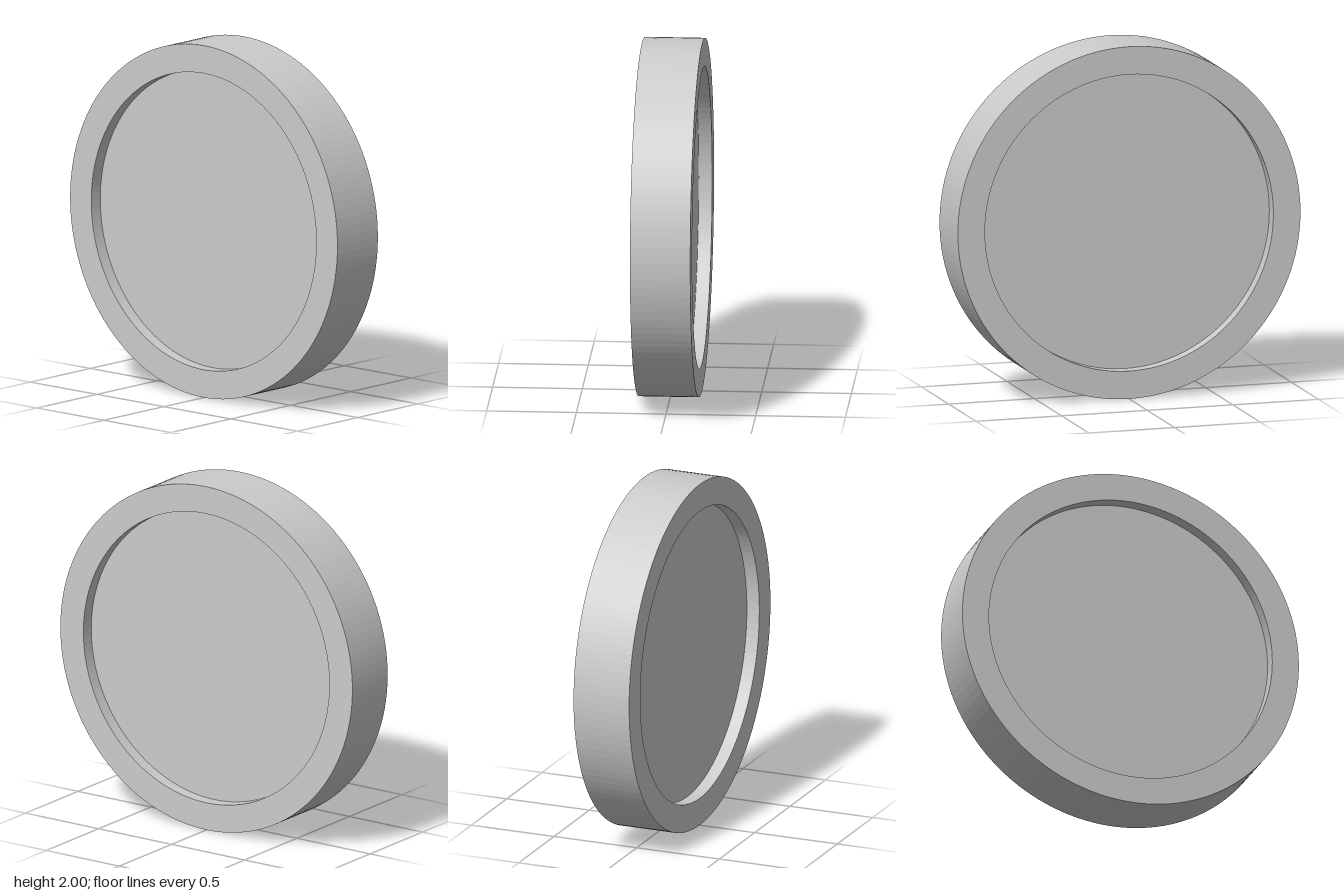
import * as THREE from 'three';

const SEGMENTS = 128;
const RADIUS = 1;        // outer radius of the rim
const INNER = 0.842;     // radius of the recessed panel
const HALF = 0.168;      // half the rim thickness
const FLOOR = 0.093;     // half the panel thickness

const material = new THREE.MeshStandardMaterial({ color: 0xcccccc, flatShading: true });

// Turn a profile of [radius, depth] pairs around the z axis
function turned(name, profile) {
  const points = profile.map(([r, d]) => new THREE.Vector2(r, d));
  const geometry = new THREE.LatheGeometry(points, SEGMENTS);
  geometry.rotateX(Math.PI / 2);
  const mesh = new THREE.Mesh(geometry, material);
  mesh.name = name;
  return mesh;
}

export function createModel() {
  const model = new THREE.Group();
  model.name = 'disc';

  // Raised ring with the recess walls on both faces
  model.add(turned('rim', [
    [INNER, -FLOOR], [INNER, -HALF], [RADIUS, -HALF],
    [RADIUS, HALF], [INNER, HALF], [INNER, FLOOR],
  ]));

  // Flat recessed floors, front and back
  model.add(turned('frontPanel', [[INNER, FLOOR], [0, FLOOR]]));
  model.add(turned('backPanel', [[0, -FLOOR], [INNER, -FLOOR]]));

  // Stand the disc on the ground
  model.children.forEach((part) => { part.position.y = RADIUS; });
  return model;
}
